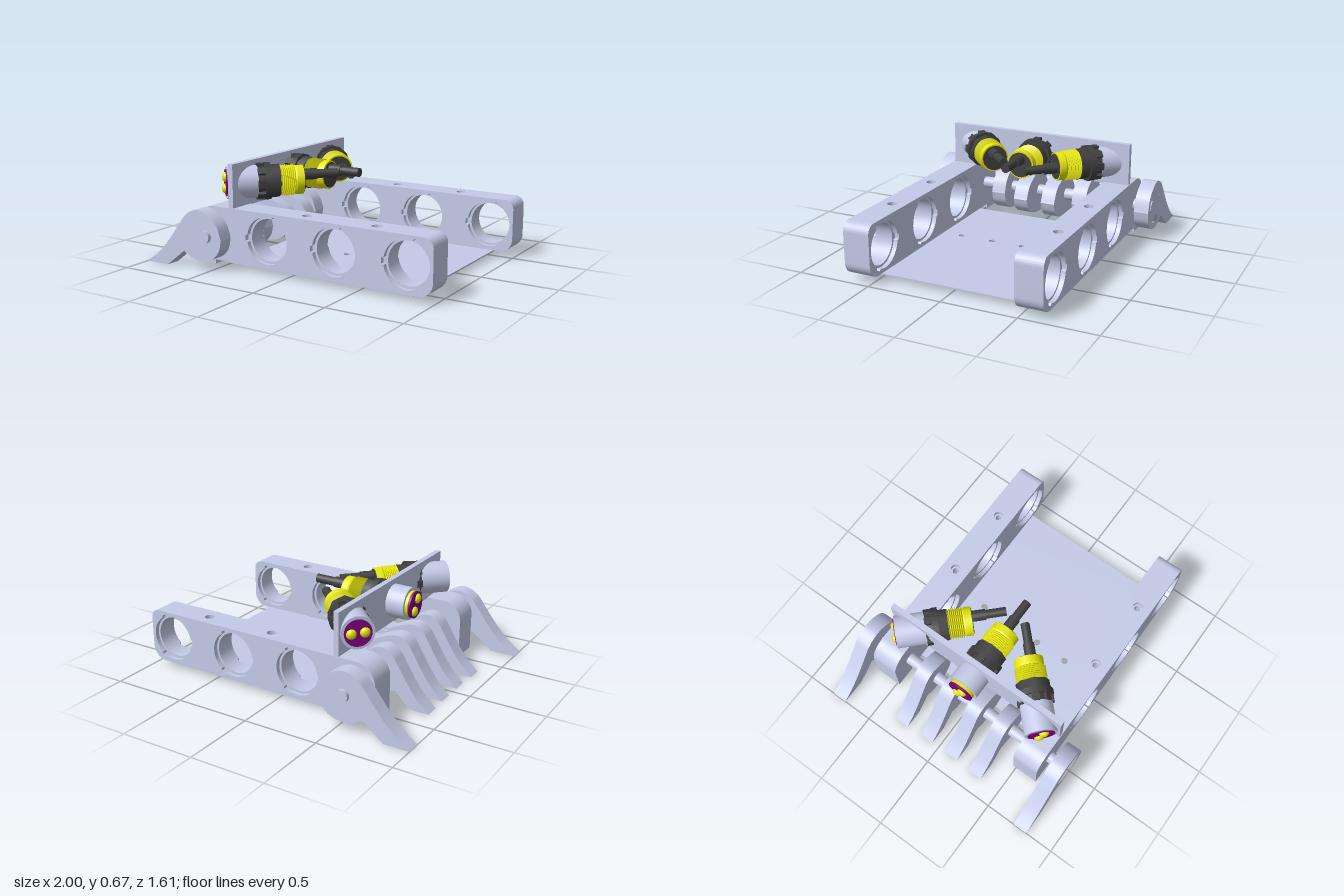
import * as THREE from 'three';
import { toCreasedNormals } from 'three/addons/utils/BufferGeometryUtils.js';

const mat = (name, color) => Object.assign(new THREE.MeshStandardMaterial({ color }), { name });
const V2 = (x, y) => new THREE.Vector2(x, y);

export function createModel() {
  const model = new THREE.Group();
  const grey = mat('lavender grey', 0xcad1ee);
  const yellow = mat('yellow', 0xf0f010);
  const dark = mat('charcoal', 0x404040);
  const purple = mat('purple', 0x800080);

  const add = (parent, name, geo, m, x = 0, y = 0, z = 0) => {
    const mesh = new THREE.Mesh(geo, m);
    mesh.name = name;
    mesh.position.set(x, y, z);
    parent.add(mesh);
    return mesh;
  };
  const extrude = (shape, depth) => toCreasedNormals(
    new THREE.ExtrudeGeometry(shape, { depth, bevelEnabled: false, curveSegments: 32 }), 0.5);
  // extrusion standing up along y; shape y becomes -z
  const extrudeUp = (shape, height) => extrude(shape, height).rotateX(-Math.PI / 2);
  const circle = (x, y, r) => new THREE.Path().absarc(x, y, r, 0, Math.PI * 2, true);

  // rectangle with a radius for each corner: bottom left, bottom right, top right, top left
  const rect = (x0, y0, x1, y1, [a, b, c, d] = [0, 0, 0, 0]) => {
    const s = new THREE.Shape();
    s.moveTo(x0 + a, y0).lineTo(x1 - b, y0);
    if (b) s.absarc(x1 - b, y0 + b, b, -Math.PI / 2, 0);
    s.lineTo(x1, y1 - c);
    if (c) s.absarc(x1 - c, y1 - c, c, 0, Math.PI / 2);
    s.lineTo(x0 + d, y1);
    if (d) s.absarc(x0 + d, y1 - d, d, Math.PI / 2, Math.PI);
    s.lineTo(x0, y0 + a);
    if (a) s.absarc(x0 + a, y0 + a, a, Math.PI, Math.PI * 1.5);
    return s;
  };
  // wide shallow bore with three key slots
  const keyedHole = (x, y) => {
    const pts = [];
    for (let i = 0; i < 120; i++) {
      const deg = i * 3;
      const r = [66, 180, 300].some(k => Math.abs(deg - k) <= 6) ? 0.165 : 0.15;
      const t = deg * Math.PI / 180;
      pts.push(V2(x + r * Math.cos(t), y + r * Math.sin(t)));
    }
    return new THREE.Path(pts);
  };

  // side rails: bored sections joined by drilled columns
  const bottom = 0.04, top = 0.39, hingeX = -0.54, hingeY = 0.215;
  const sections = [
    [-0.69, 0.055, -0.145, [0, 0, 0, 0.13]],
    [0.14, 0.54, 0.34, [0, 0, 0, 0]],
    [0.63, 1, 0.83, [0, 0.09, 0.06, 0]],
  ];
  for (const side of [1, -1]) {
    const rail = new THREE.Group();
    rail.name = side > 0 ? 'leftRail' : 'rightRail';
    rail.position.z = side * 0.57;
    model.add(rail);
    for (const [x0, x1, hx, radii] of sections) {
      for (const [z, depth, keyed] of [[-0.09, 0.03, true], [-0.06, 0.12, false], [0.06, 0.03, true]]) {
        const s = rect(x0, bottom, x1, top, radii);
        s.holes.push(keyed ? keyedHole(hx, hingeY) : circle(hx, hingeY, 0.135));
        add(rail, 'railSection', extrude(s, depth), grey, 0, 0, z);
      }
    }
    for (const [x0, x1, hx] of [[0.055, 0.14, 0.0975], [0.54, 0.63, 0.585]]) {
      for (const [y, h, r] of [[bottom, 0.32, 0.02], [0.36, 0.03, 0.032]]) {
        const s = rect(x0, -0.09, x1, 0.09);
        s.holes.push(circle(hx, 0, r));
        add(rail, 'railColumn', extrudeUp(s, h), grey, 0, y, 0);
      }
    }
    // open frame foot below the rail nose
    const foot = rect(-0.69, -0.09, -0.55, 0.09);
    foot.holes.push(new THREE.Path(rect(-0.665, -0.06, -0.575, 0.06).getPoints()));
    add(rail, 'railFoot', extrudeUp(foot, 0.03), grey, 0, 0.012, 0);
  }

  // floor plate with screw holes
  const floor = rect(-0.44, -0.65, 0.87, 0.65);
  for (const z of [-0.34, -0.11, 0.11, 0.34]) floor.holes.push(circle(0.0975, z, 0.022));
  for (const x of [0.0975, 0.585]) for (const z of [-0.57, 0.57]) floor.holes.push(circle(x, z, 0.02));
  add(model, 'floorPlate', extrudeUp(floor, 0.01), grey, 0, 0.031, 0);

  // axle through all claws
  add(model, 'axle', new THREE.CylinderGeometry(0.04, 0.04, 1.58, 32).rotateX(Math.PI / 2), grey, hingeX, hingeY, 0);

  // claws: sx scales the blade, sy the height, tail stretches the head backwards
  const clawShape = (sx, sy, tail) => {
    const p = (x, y) => V2(hingeX + (x - hingeX) * (x < hingeX ? sx : tail), y * sy);
    const s = new THREE.Shape();
    const start = p(-1, 0);
    s.moveTo(start.x, start.y);
    s.splineThru([p(-0.9, 0.075), p(-0.81, 0.17), p(-0.72, 0.285), p(-0.66, 0.355), p(-0.58, 0.39),
      p(-0.5, 0.372), p(-0.425, 0.31), p(-0.39, 0.215)]);
    s.splineThru([p(-0.41, 0.14), p(-0.465, 0.085), p(-0.54, 0.065), p(-0.62, 0.075), p(-0.69, 0.11)]);
    const heel = p(-0.83, 0);
    s.lineTo(heel.x, heel.y);
    return s;
  };
  for (const side of [1, -1]) {
    add(model, 'outerClaw', extrude(clawShape(1, 1, 1), 0.06), grey, 0, 0, side * 0.735 - 0.03);
    const rim = clawShape(1, 1, 1);
    rim.holes.push(circle(hingeX, hingeY, 0.11));
    add(model, 'outerClawRim', extrude(rim, 0.045), grey, 0, 0, side * 0.7825 - 0.0225);
    add(model, 'innerClaw', extrude(clawShape(0.76, 0.936, 1), 0.1), grey, 0, 0, side * 0.305 - 0.05);
    add(model, 'middleClaw', extrude(clawShape(0.74, 0.936, 1.45), 0.1), grey, 0, 0, side * 0.103 - 0.05);
  }

  // upright sensor mount
  add(model, 'sensorPlate', new THREE.BoxGeometry(0.036, 0.285, 1.31), grey, -0.422, 0.5275, 0);

  // sensor unit: lens face at the local origin, body running along +x
  const sensor = (x, z, turn, roll, sleeve, cableY, cableZ) => {
    const g = new THREE.Group();
    g.name = 'sensor';
    g.position.set(x, 0.53, z);
    g.rotation.y = turn;
    model.add(g);
    const drum = (name, a, b, r, m, n = 40) =>
      add(g, name, new THREE.CylinderGeometry(r, r, b - a, n).rotateZ(Math.PI / 2), m, (a + b) / 2);
    drum('lensDisc', 0, 0.015, 0.086, purple);
    drum('lensBand', 0.015, 0.04, 0.086, yellow);
    drum('sleeve', sleeve[0], sleeve[1], 0.105, grey);
    for (const s of [1, -1]) {
      const eye = add(g, 'lensDome', new THREE.SphereGeometry(0.032, 20, 14), yellow,
        0, s * 0.042 * Math.cos(roll), s * 0.042 * Math.sin(roll));
      eye.scale.x = 0.7;
    }
    // lock nut with castellated edge
    drum('nutFlange', 0.2, 0.245, 0.1, dark);
    drum('nutBody', 0.245, 0.285, 0.122, dark, 12);
    drum('nutCollar', 0.285, 0.345, 0.108, dark, 8);
    for (let i = 0; i < 8; i++) {
      const pivot = new THREE.Group();
      pivot.name = 'nutToothPivot';
      pivot.rotation.x = i * Math.PI / 4;
      g.add(pivot);
      add(pivot, 'nutTooth', new THREE.BoxGeometry(0.05, 0.025, 0.045), dark, 0.222, 0.104, 0);
    }
    // threaded barrel
    const profile = [V2(0, 0.34), V2(0.086, 0.34)];
    for (let i = 0; i < 8; i++) profile.push(V2(0.1, 0.348 + i * 0.0125), V2(0.087, 0.354 + i * 0.0125));
    profile.push(V2(0.094, 0.452), V2(0.094, 0.498), V2(0, 0.498));
    const barrel = toCreasedNormals(new THREE.LatheGeometry(profile, 40).rotateZ(-Math.PI / 2), 0.5);
    add(g, 'threadedBarrel', barrel, yellow);
    // rear cap and cable
    drum('rearCap', 0.49, 0.503, 0.084, dark);
    drum('cableBoot', 0.5, 0.59, 0.036, dark, 24).position.set(0.545, cableY, cableZ);
    drum('cable', 0.58, 0.725, 0.029, dark, 24).position.set(0.6525, cableY, cableZ);
  };
  sensor(-0.6, 0, 0, 0.5, [0.035, 0.17], 0.038, 0);
  sensor(-0.525, 0.575, Math.PI / 4, 0.35, [0.006, 0.2], 0.036, 0.015);
  sensor(-0.525, -0.575, -Math.PI / 4, 1.5, [0.006, 0.2], 0, -0.03);

  return model;
}
